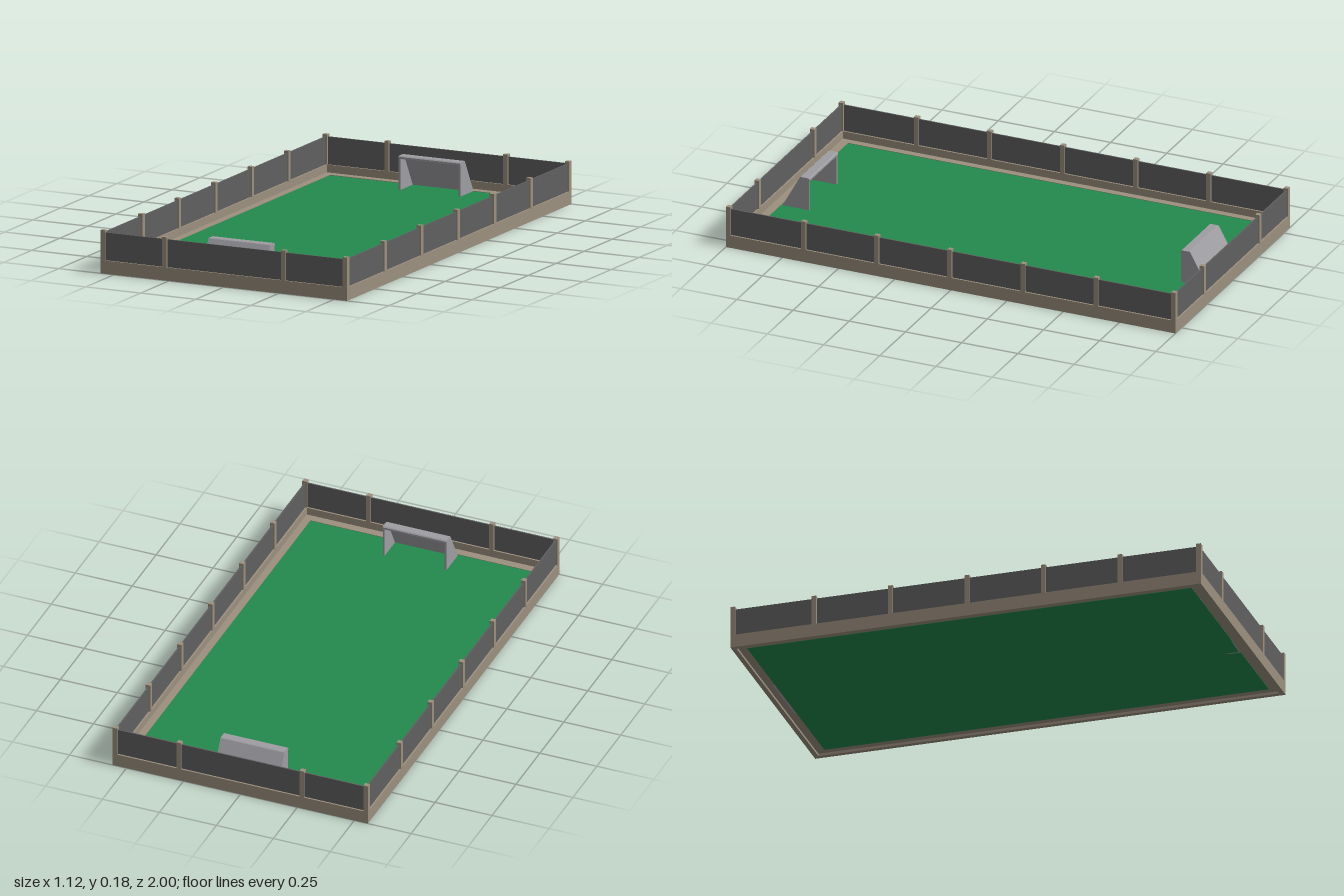
import * as THREE from 'three';

const mat = (name, color) => {
  const m = new THREE.MeshStandardMaterial({ color });
  m.name = name;
  return m;
};

export function createModel() {
  const tan = mat('tanConcrete', 0x9c907f);
  const grey = mat('fenceGrey', 0x606060);
  const green = mat('turfGreen', 0x228a4c);
  const silver = mat('goalGrey', 0x9e9da2);

  const model = new THREE.Group();
  model.name = 'sportsPitch';

  // Box given by its lower and upper corners
  const box = (name, material, x0, x1, y0, y1, z0, z1, parent = model) => {
    const mesh = new THREE.Mesh(new THREE.BoxGeometry(x1 - x0, y1 - y0, z1 - z0), material);
    mesh.position.set((x0 + x1) / 2, (y0 + y1) / 2, (z0 + z1) / 2);
    mesh.name = name;
    parent.add(mesh);
    return mesh;
  };

  const X = 0.56, Z = 1, T = 0.02; // outer half sizes and kerb thickness
  const FX = 0.51, FZ = 0.945; // turf half sizes
  const CURB = 0.055, FENCE = 0.17, POST = 0.18;

  // Rectangular frame, open in the middle
  const frame = (name, material, outX, outZ, inX, inZ, y0, y1) => {
    const corners = (x, z) => [[-x, -z], [x, -z], [x, z], [-x, z]].map((p) => new THREE.Vector2(...p));
    const shape = new THREE.Shape(corners(outX, outZ));
    shape.holes.push(new THREE.Path(corners(inX, inZ)));
    const geo = new THREE.ExtrudeGeometry(shape, { depth: y1 - y0, bevelEnabled: false });
    geo.rotateX(-Math.PI / 2);
    const mesh = new THREE.Mesh(geo, material);
    mesh.position.y = y0;
    mesh.name = name;
    model.add(mesh);
  };

  // Turf, ledge around it and kerb wall
  box('turf', green, -FX, FX, 0.01, 0.021, -FZ, FZ);
  frame('ledge', tan, X - T, Z - T, FX, FZ, 0.011, 0.023);
  frame('kerb', tan, X, Z, X - T, Z - T, 0, CURB);

  // Fence panels
  const mid = T / 2, t = 0.003;
  for (const s of [-1, 1]) {
    const fx = s * (X - mid), fz = s * (Z - mid);
    box('sideFence', grey, fx - t, fx + t, CURB, FENCE, -Z + mid, Z - mid);
    box('endFence', grey, -X + mid, X - mid, CURB, FENCE, fz - t, fz + t);
  }

  // Fence posts
  const post = (x, z) => box('fencePost', tan, x - mid, x + mid, CURB, POST, z - mid, z + mid);
  for (const s of [-1, 1]) {
    for (const x of [-0.27, 0.27]) post(x, s * (Z - mid));
    for (const z of [-0.99, -0.645, -0.32, 0.005, 0.33, 0.655, 0.99]) post(s * (X - mid), z);
  }

  // Goal: profile of (z, y) points extruded across x
  const slab = (name, points, x0, x1, parent) => {
    const shape = new THREE.Shape(points.map((p) => new THREE.Vector2(...p)));
    const geo = new THREE.ExtrudeGeometry(shape, { depth: x1 - x0, bevelEnabled: false });
    geo.rotateY(-Math.PI / 2);
    geo.translate(x1, 0, 0);
    const mesh = new THREE.Mesh(geo, silver);
    mesh.name = name;
    parent.add(mesh);
  };
  const goal = (name, offset, turn) => {
    const g = new THREE.Group();
    g.name = name;
    const w = 0.14, top = 0.162, base = 0.01;
    const side = [[0.822, base], [0.945, base], [0.862, top - 0.002], [0.822, top - 0.002]];
    slab('goalSide', side, -w, -w + 0.008, g);
    slab('goalSide', side, w - 0.008, w, g);
    // sloping back sheet
    slab('goalBack', [[0.937, base], [0.945, base], [0.862, top - 0.002], [0.854, top - 0.002]], -w + 0.008, w - 0.008, g);
    // top bar with softened edges
    slab('goalTop', [[0.82, top - 0.012], [0.862, top - 0.012], [0.862, top - 0.003], [0.859, top], [0.824, top], [0.82, top - 0.004]], -w, w, g);
    g.rotation.y = turn;
    g.position.z = offset;
    model.add(g);
  };
  goal('frontGoal', 0, 0);
  goal('backGoal', -0.012, Math.PI);

  return model;
}
